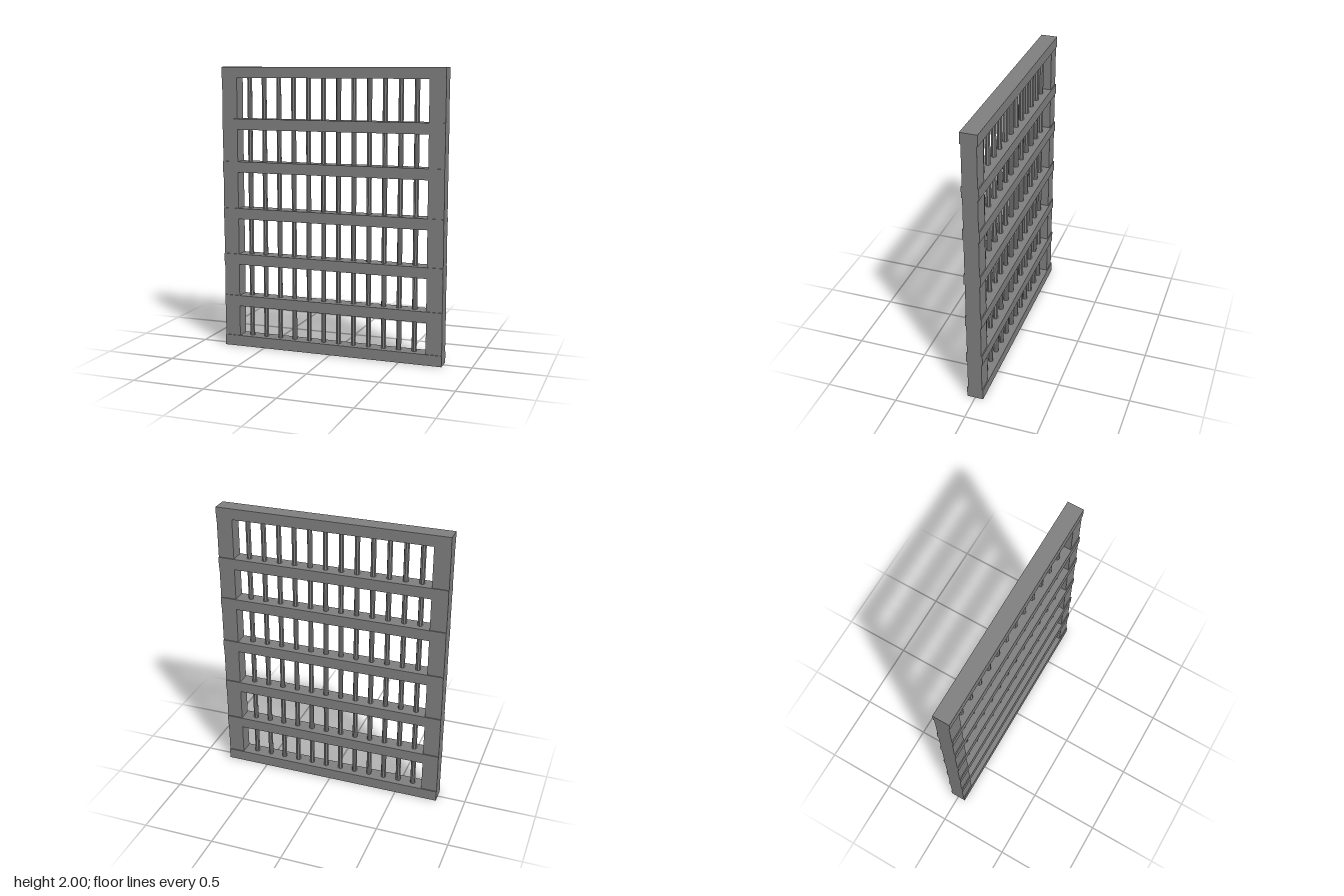
import * as THREE from 'three';

export function createModel() {
  const model = new THREE.Group();
  const material = new THREE.MeshStandardMaterial({ color: 0x7f7f7f, flatShading: true });

  function add(name, geometry, x, y) {
    const mesh = new THREE.Mesh(geometry, material);
    mesh.name = name;
    mesh.position.set(x, y, 0);
    model.add(mesh);
  }

  // Side posts, slightly thinner than the rails and flush with their ends
  const post = new THREE.BoxGeometry(0.112, 1.96, 0.1);
  add('leftPost', post, 0.746, 1);
  add('rightPost', post, -0.746, 1);

  // Horizontal rails, bottom to top
  const railHeight = 0.076;
  const rail = new THREE.BoxGeometry(1.604, railHeight, 0.114);
  [0.038, 0.334, 0.638, 0.968, 1.301, 1.602, 1.962].forEach((y, i) => {
    add(`rail${i + 1}`, rail, 0, y);
  });

  // Round vertical bars running through every rail
  const barCount = 12;
  const bar = new THREE.CylinderGeometry(0.018, 0.018, 1.94, 8);
  for (let i = 0; i < barCount; i++) {
    add(`bar${i + 1}`, bar, -0.613 + i * 0.11, 1);
  }

  return model;
}
